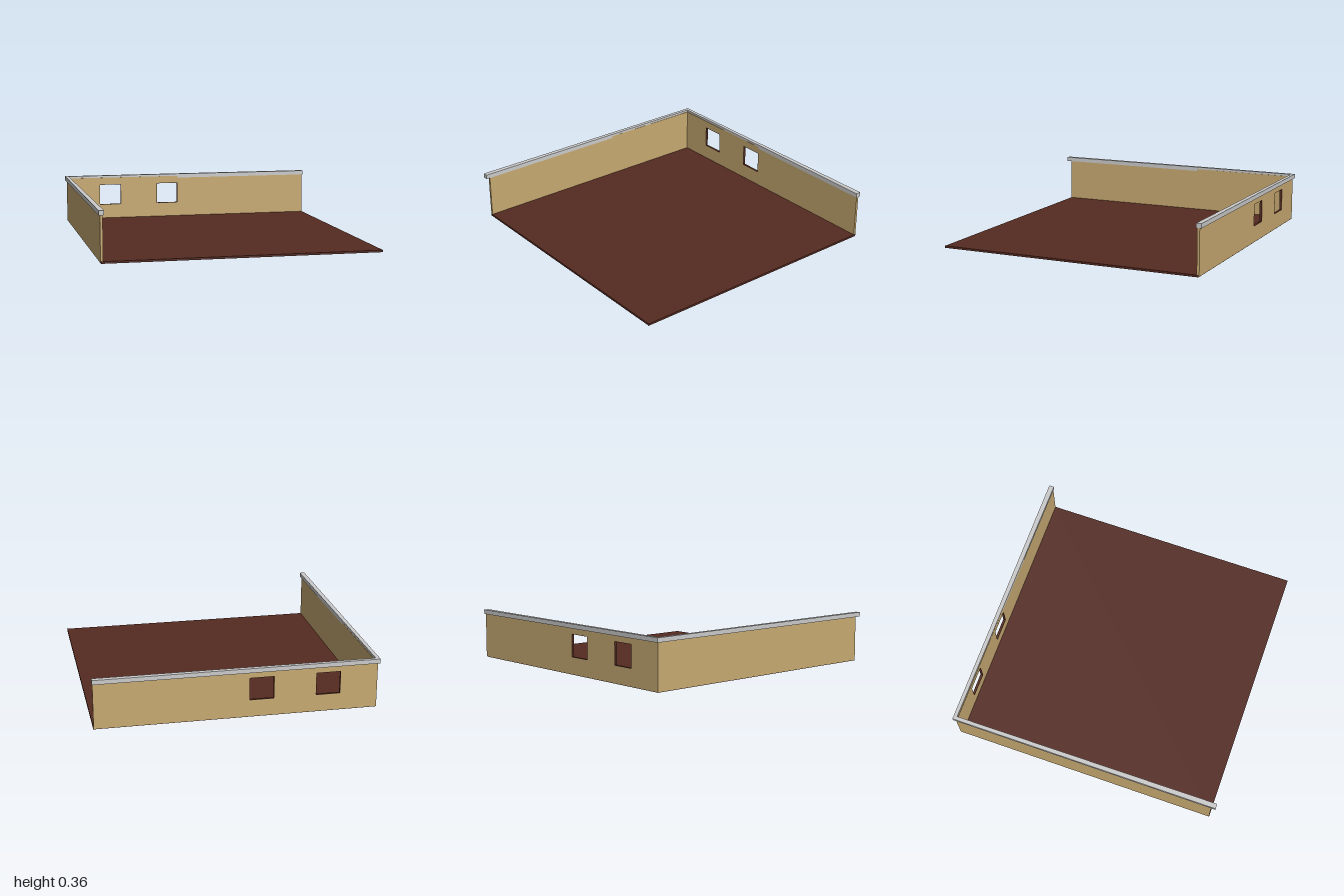
import * as THREE from 'three';

const tan = new THREE.MeshStandardMaterial({ color: 0xc8aa72 });
const brown = new THREE.MeshStandardMaterial({ color: 0x542a20 });
const grey = new THREE.MeshStandardMaterial({ color: 0xcccccc });

const OUT = -0.987, IN = -0.969;            // outer and inner wall faces
const BASE = 0.004, WALL_TOP = 0.345;
const LINER = 0.002;

function rect(x0, y0, x1, y1, Kind = THREE.Shape) {
  return new Kind([[x0, y0], [x1, y0], [x1, y1], [x0, y1]].map(p => new THREE.Vector2(...p)));
}

function extrude(shape, depth) {
  return new THREE.ExtrudeGeometry(shape, { depth, bevelEnabled: false });
}

function add(group, name, geometry, material) {
  const mesh = new THREE.Mesh(geometry, material);
  mesh.name = name;
  group.add(mesh);
  return mesh;
}

function box(x0, y0, z0, x1, y1, z1) {
  return new THREE.BoxGeometry(x1 - x0, y1 - y0, z1 - z0)
    .translate((x0 + x1) / 2, (y0 + y1) / 2, (z0 + z1) / 2);
}

export function createModel() {
  const model = new THREE.Group();
  model.name = 'roomCorner';

  // Floor slab
  add(model, 'floor', box(-0.982, 0, -0.982, 0.995, 0.015, 0.97), brown);

  // Back wall with two window openings, each with a dark reveal
  const wall = rect(OUT, BASE, 0.993, WALL_TOP);
  for (const x of [-0.72, -0.25]) {
    const [x0, y0, x1, y1] = [x, 0.127, x + 0.17, 0.287];
    wall.holes.push(rect(x0 - LINER, y0 - LINER, x1 + LINER, y1 + LINER, THREE.Path));
    const ring = rect(x0 - LINER, y0 - LINER, x1 + LINER, y1 + LINER);
    ring.holes.push(rect(x0, y0, x1, y1, THREE.Path));
    add(model, 'windowReveal', extrude(ring, IN - OUT), brown).position.z = OUT;
  }
  add(model, 'backWall', extrude(wall, IN - OUT), tan).position.z = OUT;

  // Side wall, meeting the back wall at the corner
  add(model, 'sideWall', box(OUT, BASE, IN, IN, WALL_TOP, 0.968), tan);

  // L-shaped coping, widening slightly towards both free ends
  const plan = [[-1, -1], [0.996, -1], [0.996, -0.963], [-0.973, -0.974], [-0.963, 1], [-1, 1]];
  const coping = new THREE.Shape(plan.map(([x, z]) => new THREE.Vector2(x, -z)));
  const copingGeometry = extrude(coping, 0.032).rotateX(-Math.PI / 2).translate(0, 0.33, 0);
  add(model, 'coping', copingGeometry, grey);

  return model;
}
